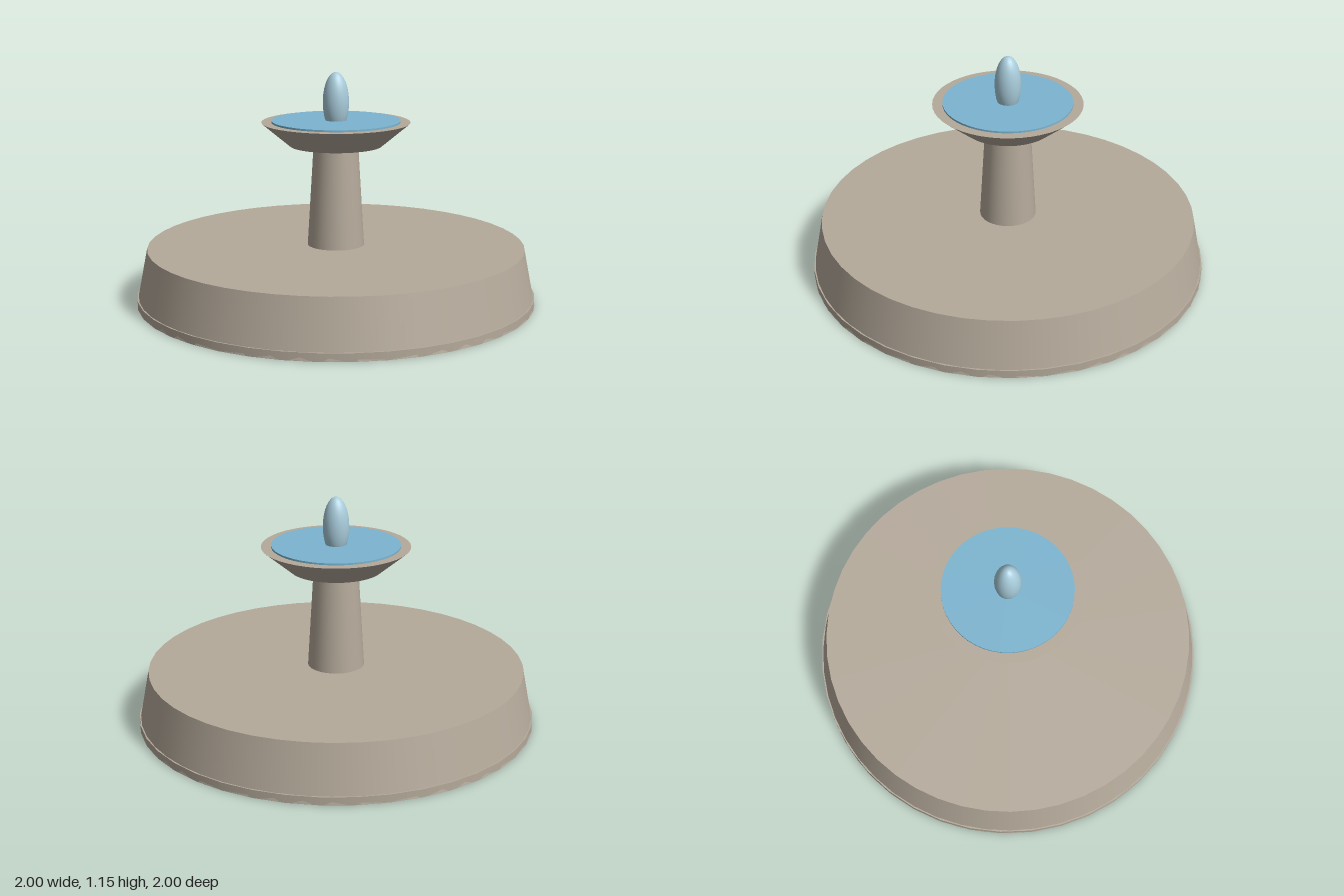
import * as THREE from 'three';

export function createModel() {
  const group = new THREE.Group();
  const material = (name, color) => {
    const m = new THREE.MeshStandardMaterial({ color });
    m.name = name;
    return m;
  };
  const stone = material('stone', 0xb5aa9b);
  const water = material('water', 0x7cb4d0);
  const spray = material('spray', 0xa9cddc);

  const add = (name, geometry, mat) => {
    const mesh = new THREE.Mesh(geometry, mat);
    mesh.name = name;
    group.add(mesh);
    return mesh;
  };
  // Round tapered part standing between two heights
  const tapered = (name, bottomR, topR, y0, y1, mat, sides = 48) => {
    const mesh = add(name, new THREE.CylinderGeometry(topR, bottomR, y1 - y0, sides), mat);
    mesh.position.y = (y0 + y1) / 2;
  };

  // Basin and its footing
  tapered('footing', 1, 1, 0, 0.04, stone, 40);
  tapered('basin', 1, 0.945, 0.002, 0.28, stone);

  // Pedestal and upper bowl
  tapered('pedestal', 0.142, 0.111, 0.28, 0.79, stone, 32);
  tapered('bowl', 0.23, 0.37, 0.785, 0.902, stone);
  tapered('bowlWater', 0.32, 0.32, 0.9, 0.911, water);

  // Water jet
  const jet = add('waterJet', new THREE.SphereGeometry(1, 24, 20), spray);
  jet.scale.set(0.065, 0.15, 0.065);
  jet.position.y = 1;

  return group;
}
